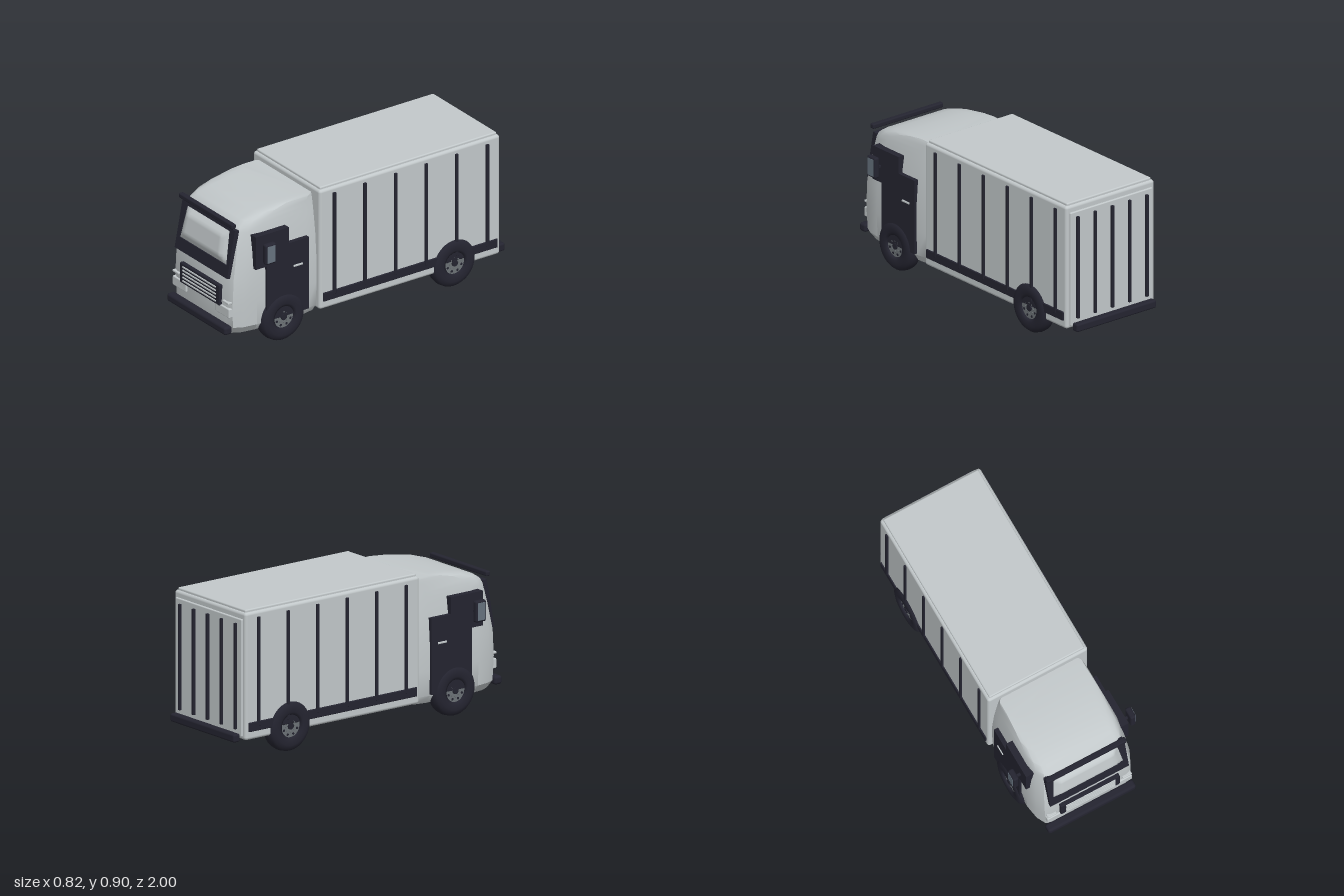
import * as THREE from 'three';
import { toCreasedNormals } from 'three/addons/utils/BufferGeometryUtils.js';
import { RoundedBoxGeometry } from 'three/addons/geometries/RoundedBoxGeometry.js';

const mat = (name, color) => {
  const m = new THREE.MeshStandardMaterial({ color });
  m.name = name;
  return m;
};

// Cab shell lofted upward through horizontal outlines: [y, half width, front z]
function cabGeometry() {
  const rows = [
    [0.10, 0.285, 0.935], [0.15, 0.322, 0.95], [0.30, 0.328, 0.955], [0.46, 0.327, 0.947],
    [0.62, 0.315, 0.917], [0.74, 0.298, 0.895], [0.77, 0.293, 0.88], [0.80, 0.288, 0.835],
    [0.83, 0.282, 0.74], [0.85, 0.277, 0.62], [0.86, 0.272, 0.50],
  ];
  const inset = [0.015, 0, 0, 0.014, 0.042, 0.075];
  const depth = [0, 0.08, 0.44, 0.53, 0.585, 0.6];
  const n = inset.length * 2, pos = [], idx = [];
  for (const [y, w, zf] of rows) {
    const s = (zf - 0.36) / 0.6;
    for (let j = 0; j < n; j++) {
      const k = j < n / 2 ? j : n - 1 - j;
      pos.push((j < n / 2 ? 1 : -1) * (w - inset[k]), y, 0.36 + s * depth[k]);
    }
  }
  for (let i = 0; i < rows.length - 1; i++) {
    for (let j = 0; j < n; j++) {
      const a = i * n + j, b = i * n + (j + 1) % n;
      idx.push(a, a + n, b, b, a + n, b + n);
    }
  }
  const top = (rows.length - 1) * n;
  for (let j = 1; j < n - 1; j++) idx.push(0, j, j + 1, top, top + j + 1, top + j);
  const g = new THREE.BufferGeometry();
  g.setAttribute('position', new THREE.Float32BufferAttribute(pos, 3));
  g.setIndex(idx);
  return toCreasedNormals(g, 0.6);
}

// Windscreen pane: tapered plane raised into a cushion
function paneGeometry() {
  const g = new THREE.PlaneGeometry(2, 2, 20, 14), p = g.attributes.position;
  for (let i = 0; i < p.count; i++) {
    const u = p.getX(i), v = p.getY(i);
    const rise = Math.min(1, (1 - Math.abs(u)) / 0.2, (1 - Math.abs(v)) / 0.4);
    p.setXYZ(i, u * (0.224 - 0.011 * v), v * 0.103 + 0.028, 0.03 * rise);
  }
  g.computeVertexNormals();
  return g;
}

export function createModel() {
  const root = new THREE.Group();
  root.name = 'boxTruck';
  const body = mat('bodyGrey', 0xc2c8ca);
  const dark = mat('darkTrim', 0x242430);
  const hubMat = mat('hubGrey', 0x6c7276);
  const mirrorMat = mat('mirrorGlass', 0x66727e);

  const add = (name, geo, m, parent = root) => {
    const mesh = new THREE.Mesh(geo, m);
    mesh.name = name;
    parent.add(mesh);
    return mesh;
  };
  // Box given by its limits on each axis, optionally rounded
  const box = (name, m, x0, x1, y0, y1, z0, z1, r = 0, parent = root) => {
    const s = [x1 - x0, y1 - y0, z1 - z0];
    const g = r ? new RoundedBoxGeometry(...s, 3, r) : new THREE.BoxGeometry(...s);
    const mesh = add(name, g, m, parent);
    mesh.position.set((x0 + x1) / 2, (y0 + y1) / 2, (z0 + z1) / 2);
    return mesh;
  };

  // Cargo box
  box('cargoBox', body, -0.334, 0.334, 0.12, 0.89, -0.94, 0.352, 0.018);
  box('cargoRoof', body, -0.317, 0.317, 0.875, 0.905, -0.927, 0.337, 0.008);
  box('rearDoor', body, -0.31, 0.31, 0.14, 0.85, -0.952, -0.93, 0.006);
  for (let i = 0; i < 5; i++) {
    const x = (i - 2) * 0.13;
    box('rearRib', dark, x - 0.009, x + 0.009, 0.18, 0.82, -0.967, -0.945, 0.003);
  }
  box('rearBumper', dark, -0.3, 0.3, 0.11, 0.16, -1, -0.952, 0.012);

  // Cab
  add('cab', cabGeometry(), body);
  box('frontBumper', dark, -0.292, 0.292, 0.118, 0.17, 0.945, 1, 0.016);
  box('roofBar', dark, -0.266, 0.266, 0.777, 0.807, 0.9, 0.932, 0.008);

  // Windscreen, leaning back
  const screen = new THREE.Group();
  screen.name = 'windscreen';
  screen.position.set(0, 0.613, 0.927);
  screen.rotation.x = -0.19;
  root.add(screen);
  const frame = new THREE.Shape([[-0.262, -0.15], [0.262, -0.15], [0.262, 0.15], [-0.262, 0.15]]
    .map(([x, y]) => new THREE.Vector2(x, y)));
  frame.holes.push(new THREE.Path([[-0.234, -0.075], [-0.212, 0.131], [0.212, 0.131], [0.234, -0.075]]
    .map(([x, y]) => new THREE.Vector2(x, y))));
  add('windscreenFrame', new THREE.ExtrudeGeometry(frame, { depth: 0.03, bevelEnabled: false }), dark, screen)
    .position.z = -0.022;
  add('windscreenPane', paneGeometry(), body, screen);

  // Grille
  box('grille', dark, -0.197, 0.197, 0.27, 0.4, 0.93, 0.973, 0.006);
  for (let i = 0; i < 5; i++) {
    const y = 0.291 + i * 0.0225;
    box('grilleSlat', body, -0.164, 0.164, y - 0.004, y + 0.004, 0.965, 0.979);
  }

  // Door outline in (z, y)
  const door = new THREE.Shape([
    [0.815, 0.515], [0.815, 0.725], [0.578, 0.725], [0.578, 0.622],
    [0.434, 0.622], [0.434, 0.16], [0.735, 0.16], [0.735, 0.515],
  ].map(([z, y]) => new THREE.Vector2(-z, y)));
  const doorGeo = new THREE.ExtrudeGeometry(door, { depth: 0.055, bevelEnabled: false });
  doorGeo.rotateY(Math.PI / 2);

  // Tyre profile: [radius, offset along axle]
  const tyreGeo = new THREE.LatheGeometry([
    [0.068, -0.04], [0.085, -0.048], [0.115, -0.05], [0.138, -0.042], [0.151, -0.026], [0.155, 0],
    [0.151, 0.026], [0.138, 0.042], [0.115, 0.05], [0.085, 0.048], [0.068, 0.04], [0.068, -0.04],
  ].map(([r, a]) => new THREE.Vector2(r, a)), 40);
  const hubGeo = new THREE.CylinderGeometry(0.069, 0.069, 0.07, 32);
  const capGeo = new THREE.CylinderGeometry(0.02, 0.024, 0.086, 16);
  const boltGeo = new THREE.CylinderGeometry(0.006, 0.006, 0.08, 6);
  const slotGeo = new THREE.CylinderGeometry(0.008, 0.008, 0.074, 8);

  for (const s of [1, -1]) {
    const side = (name, m, x0, x1, ...rest) =>
      box(name, m, Math.min(s * x0, s * x1), Math.max(s * x0, s * x1), ...rest);

    // Side ribs and skirt rail
    for (let i = 0; i < 6; i++) {
      const z = 0.25 - i * 0.219;
      side('sideRib', dark, 0.325, 0.345, 0.2, 0.856, z - 0.01, z + 0.01, 0.003);
    }
    side('skirtRail', dark, 0.32, 0.342, 0.17, 0.226, -0.918, 0.33, 0.005);

    // Door and handle
    add('door', doorGeo, dark).position.x = s > 0 ? 0.287 : -0.342;
    side('doorHandle', body, 0.335, 0.348, 0.459, 0.471, 0.48, 0.545, 0.003);

    // Mirror
    side('mirrorArm', dark, 0.32, 0.385, 0.609, 0.623, 0.74, 0.755);
    side('mirrorHousing', dark, 0.373, 0.409, 0.56, 0.69, 0.713, 0.79, 0.012);
    side('mirrorPlate', mirrorMat, 0.405, 0.411, 0.572, 0.678, 0.725, 0.778);

    // Headlight and indicator
    side('headlight', body, 0.147, 0.282, 0.218, 0.277, 0.92, 0.965, 0.006);
    side('indicator', body, 0.22, 0.28, 0.305, 0.318, 0.92, 0.968, 0.004);

    // Wheels
    for (const z of [0.613, -0.61]) {
      const wheel = new THREE.Group();
      wheel.name = z > 0 ? 'frontWheel' : 'rearWheel';
      wheel.position.set(s * 0.302, 0.155, z);
      wheel.rotation.z = -s * Math.PI / 2;
      root.add(wheel);
      add('tyre', tyreGeo, dark, wheel);
      add('hub', hubGeo, hubMat, wheel);
      add('hubCap', capGeo, dark, wheel);
      for (let i = 0; i < 8; i++) {
        const a = i * Math.PI / 4;
        add('hubBolt', boltGeo, hubMat, wheel).position.set(Math.cos(a) * 0.034, 0, Math.sin(a) * 0.034);
        const b = a + Math.PI / 8;
        add('hubSlot', slotGeo, dark, wheel).position.set(Math.cos(b) * 0.053, 0, Math.sin(b) * 0.053);
      }
    }
  }
  return root;
}
